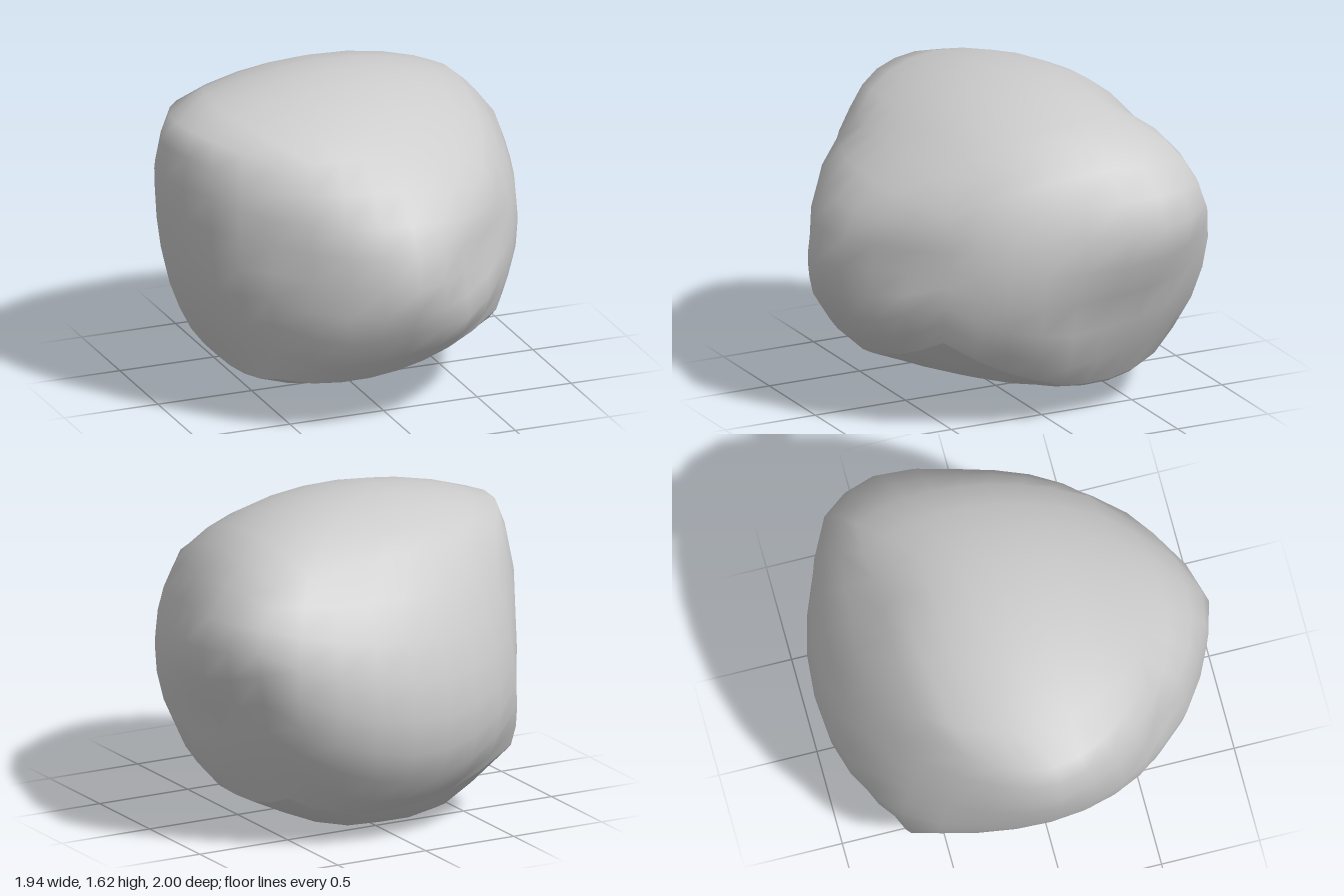
import * as THREE from 'three';
import { mergeVertices } from 'three/addons/utils/BufferGeometryUtils.js';

// Control points of the boulder on a 3 x 3 x 3 cube lattice: key "xyz" -> position
const NODES = {
  // face centres
  '+00': [0.89, 0.84, -0.03], '-00': [-0.92, 0.85, 0],
  '0+0': [-0.05, 1.61, -0.05], '0-0': [-0.05, 0.03, -0.14],
  '00+': [0, 0.8, 1], '00-': [0.05, 0.66, -1],
  // edge middles
  '++0': [0.67, 1.42, -0.1], '-+0': [-0.89, 1.465, -0.01],
  '+-0': [0.62, 0.185, -0.05], '--0': [-0.665, 0.19, -0.05],
  '0++': [0, 1.355, 0.59], '0-+': [0, 0.27, 0.68],
  '0+-': [0, 1.43, -0.64], '0--': [0, 0.12, -0.66],
  '+0+': [0.6, 0.86, 0.58], '-0+': [-0.64, 0.85, 0.61],
  '+0-': [0.79, 0.94, -0.74], '-0-': [-0.66, 0.8, -0.72],
  // corners
  '+++': [0.53, 1.23, 0.52], '-++': [-0.55, 1.36, 0.52],
  '++-': [0.63, 1.35, -0.64], '-+-': [-0.59, 1.37, -0.56],
  '+-+': [0.57, 0.48, 0.58], '--+': [-0.57, 0.25, 0.52],
  '+--': [0.55, 0.24, -0.6], '---': [-0.66, 0.36, -0.69],
};

// Local swells and dents: place on the cube, push, radius
const BUMPS = [
  { at: [0.55, 0, 1], push: [-0.04, 0, -0.05], radius: 0.55 },     // flat flanks of the nose
  { at: [-0.5, 0, 1], push: [0.025, 0, -0.035], radius: 0.5 },
  { at: [0, -0.5, 1], push: [0, 0.035, -0.035], radius: 0.5 },
  { at: [-1, 0.25, 1], push: [0.025, 0, -0.025], radius: 0.4 },    // small hollow
  { at: [1, 0.25, -0.5], push: [0.085, 0, -0.06], radius: 0.7 },   // left shoulder
  { at: [1, -0.4, -0.2], push: [-0.05, 0, 0], radius: 0.55 },      // hollow under it
  { at: [1, -0.75, 0], push: [0.03, -0.02, 0], radius: 0.4 },      // swell above the base
  { at: [-1, 0.55, -0.1], push: [-0.035, 0, 0], radius: 0.6 },     // right shoulder
  { at: [0.4, 1, -1], push: [0, -0.03, 0.03], radius: 0.5 },       // flat upper back
  { at: [-0.5, -1, -0.5], push: [0, -0.08, 0], radius: 0.7 },      // foot
  { at: [0.25, -1, -0.55], push: [0, -0.035, 0], radius: 0.5 },
].map(({ at, push, radius }) => ({
  at: new THREE.Vector3(...at), push: new THREE.Vector3(...push), radius,
}));

// Each control point becomes an offset from the unit sphere
const SIGN = { '-': -1, '0': 0, '+': 1 };
const offsets = Object.entries(NODES).map(([key, p]) => {
  const sphere = new THREE.Vector3(...[...key].map((c) => SIGN[c])).normalize();
  return { key, offset: new THREE.Vector3(...p).sub(sphere) };
});

// Quadratic weights through -1, 0 and 1
const weight = (c, t) =>
  c === '0' ? 1 - t * t : c === '+' ? (t * (t + 1)) / 2 : (t * (t - 1)) / 2;

export function createModel() {
  const group = new THREE.Group();
  group.name = 'rock';

  // Round a divided cube into a sphere, then push it to the control points
  const box = new THREE.BoxGeometry(2, 2, 2, 8, 8, 8);
  const pos = box.attributes.position;
  const normal = box.attributes.normal;
  const cube = new THREE.Vector3();
  const point = new THREE.Vector3();
  for (let i = 0; i < pos.count; i++) {
    cube.fromBufferAttribute(pos, i);
    point.set(...cube.toArray().map((t) => Math.tan((t * Math.PI) / 4))).normalize();
    for (const { key, offset } of offsets) {
      const w = weight(key[0], cube.x) * weight(key[1], cube.y) * weight(key[2], cube.z);
      point.addScaledVector(offset, w);
    }
    for (const { at, push, radius } of BUMPS) {
      const fall = Math.max(0, 1 - (cube.distanceTo(at) / radius) ** 2);
      point.addScaledVector(push, fall * fall);
    }
    pos.setXYZ(i, point.x, point.y, point.z);
    // Only the underside keeps its own normals, so it alone stays creased after merging
    if (normal.getY(i) > -0.5) normal.setXYZ(i, 0, 0, 0);
  }
  box.deleteAttribute('uv');
  const geometry = mergeVertices(box);
  geometry.computeVertexNormals();

  const boulder = new THREE.Mesh(geometry, new THREE.MeshStandardMaterial({ color: 0xcccccc }));
  boulder.name = 'boulder';
  group.add(boulder);
  return group;
}
